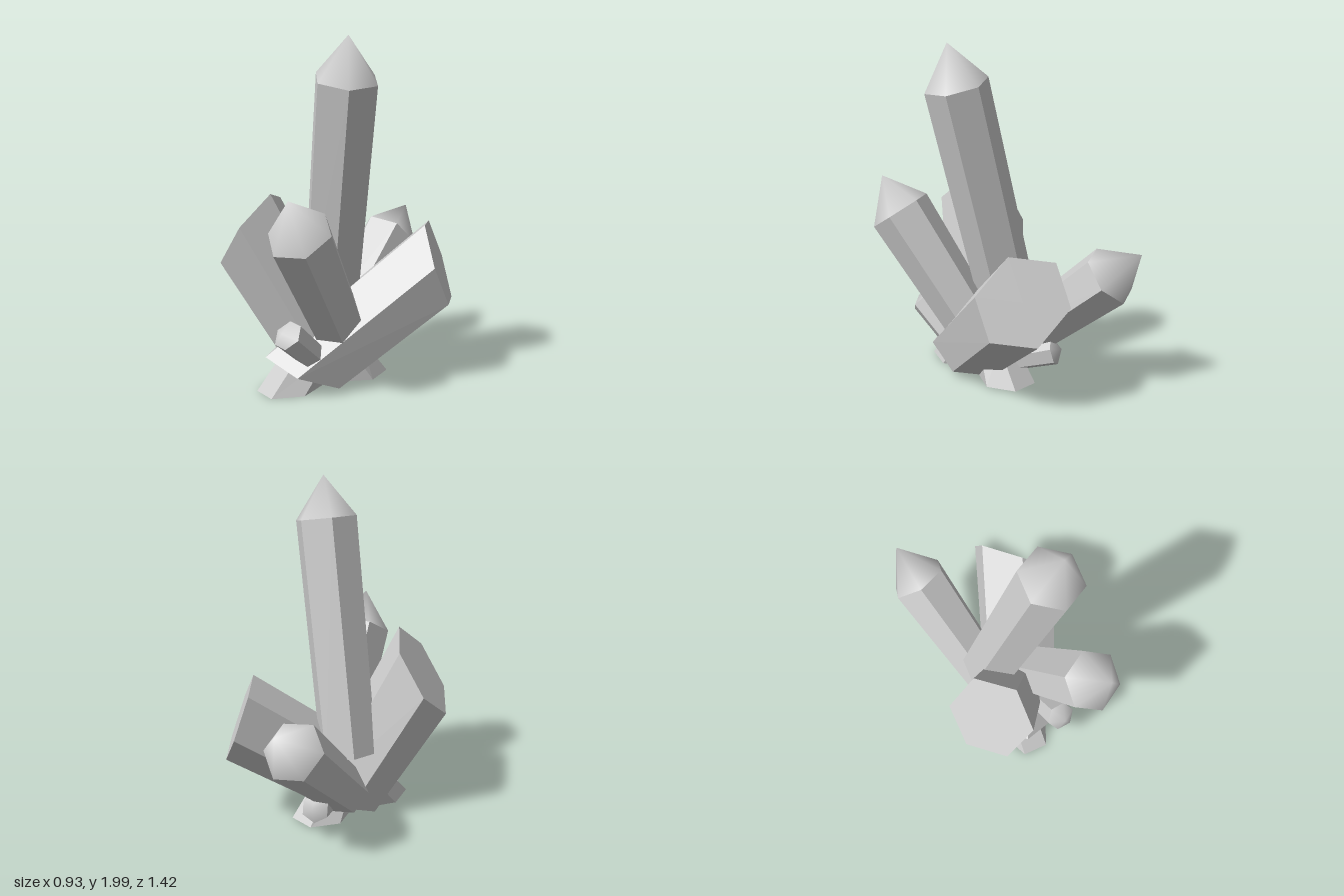
import * as THREE from 'three';
import { mergeGeometries } from 'three/addons/utils/BufferGeometryUtils.js';

const V = (a) => new THREE.Vector3(...a);

// Triangles between two rings, with flat normals
function flatBand(low, high) {
  const pts = [];
  low.forEach((p, i) => {
    const j = (i + 1) % low.length;
    pts.push(p, low[j], high[j], p, high[j], high[i]);
  });
  const g = new THREE.BufferGeometry().setFromPoints(pts);
  g.computeVertexNormals();
  return g;
}

// Fan from a ring to one point, with smooth normals
function smoothFan(ring, apex, flip) {
  const g = new THREE.BufferGeometry().setFromPoints([...ring, apex]);
  const n = ring.length, index = [];
  for (let i = 0; i < n; i++) {
    const j = (i + 1) % n;
    index.push(...(flip ? [j, i, n] : [i, j, n]));
  }
  g.setIndex(index);
  g.computeVertexNormals();
  return g.toNonIndexed();
}

// Six-sided crystal: a tapered prism whose ends may be cut at a slant, with an optional point
function crystal({ base, top, r0, r1, corner, cut, baseCut, tip }) {
  const b = V(base), t = V(top);
  const axis = t.clone().sub(b).normalize();
  const u = V(corner).projectOnPlane(axis).normalize();
  const w = axis.clone().cross(u);
  const ring = (centre, r, normal) => Array.from({ length: 6 }, (_, i) => {
    const a = i * Math.PI / 3;
    const p = u.clone().multiplyScalar(r * Math.cos(a)).addScaledVector(w, r * Math.sin(a));
    // slide the corner along the axis onto the cutting plane
    if (normal) p.addScaledVector(axis, -p.dot(normal) / axis.dot(normal));
    return p.add(centre);
  });
  const low = ring(b, r0, baseCut && V(baseCut));
  const high = ring(t, r1, cut && V(cut));
  return mergeGeometries([
    flatBand(low, high),
    smoothFan(high, tip ? V(tip) : t, false),
    smoothFan(low, b, true),
  ]);
}

const crystals = {
  // large pointed crystals
  tallCrystal: { base: [-0.1, 0.43, 0.065], top: [0.203, 1.765, 0.168], r0: 0.172, r1: 0.183,
    corner: [0.02, 0, -1], tip: [0.25, 2, 0.19] },
  frontRightCrystal: { base: [0.09, 0.26, 0.1], top: [0.312, 0.995, 0.55], r0: 0.15, r1: 0.182,
    corner: [0, 0.4, -1], tip: [0.36, 1.195, 0.65] },
  backLeftCrystal: { base: [-0.12, 0.2, 0.03], top: [-0.306, 0.71, -0.533], r0: 0.143, r1: 0.178,
    corner: [-0.02, 0.11, 0.11], tip: [-0.36, 0.865, -0.71] },
  // large crystals with slanted ends
  backRightCrystal: { base: [-0.005, 0.113, 0.295], top: [0.285, 0.683, -0.428], r0: 0.228, r1: 0.25,
    corner: [0, 0.225, 0.115], cut: [0.65, 0.32, -0.689], baseCut: [0.22, 0.92, -0.32] },
  frontLeftCrystal: { base: [0, 0.11, 0.15], top: [-0.283, 0.895, 0.483], r0: 0.21, r1: 0.252,
    corner: [-0.01, 0.16, -0.2], cut: [-0.69, 0.56, 0.46] },
  // small crystals around the foot
  smallFrontCrystal: { base: [0.115, 0.19, 0.3], top: [0.158, 0.4, 0.53], r0: 0.078, r1: 0.088,
    corner: [-1, 0, 0], tip: [0.165, 0.42, 0.575] },
  smallBackCrystal: { base: [0, 0.12, 0], top: [-0.16, 0.205, -0.25], r0: 0.07, r1: 0.083,
    corner: [0, 1, 0], tip: [-0.18, 0.225, -0.29] },
  // stubs that reach down to the ground and are cut level
  frontStub: { base: [-0.02, 0.2, 0.24], top: [-0.02, 0.008, 0.405], r0: 0.14, r1: 0.15,
    corner: [1, 0, 0], cut: [0, -1, 0] },
  backStub: { base: [0.01, 0.18, 0.06], top: [0.02, 0.018, -0.035], r0: 0.125, r1: 0.16,
    corner: [1, 0, 0], cut: [0, -1, 0] },
};

export function createModel() {
  const group = new THREE.Group();
  group.name = 'crystalCluster';
  const material = new THREE.MeshStandardMaterial({ color: 0xcccccc });
  for (const [name, spec] of Object.entries(crystals)) {
    const mesh = new THREE.Mesh(crystal(spec), material);
    mesh.name = name;
    group.add(mesh);
  }
  return group;
}
